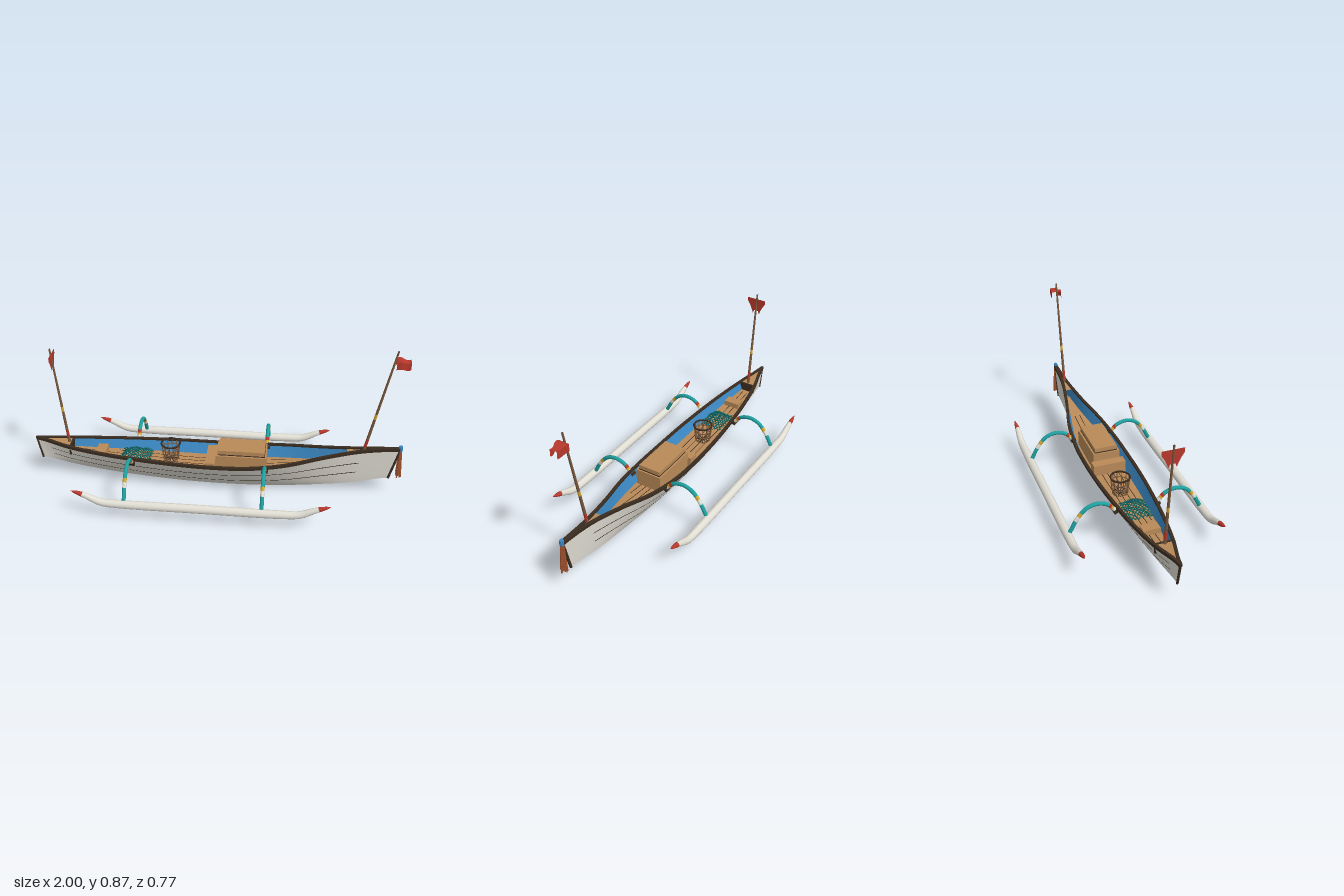
import * as THREE from 'three';

const V = (x, y, z) => new THREE.Vector3(x, y, z);
const lerp = THREE.MathUtils.lerp;

const M = {};
for (const [name, color] of Object.entries({
  white: 0xe0ddd3, darkWood: 0x3a2c20, blue: 0x3a86c0, wood: 0xb98a58, teal: 0x1f9f9f,
  red: 0xb8382c, yellow: 0xd2a52c, poleBrown: 0x7c5a3e, rust: 0xa5532f, netTeal: 0x0f6464,
})) M[name] = Object.assign(new THREE.MeshStandardMaterial({ color, side: THREE.DoubleSide }), { name });

function add(parent, name, geo, mat, x = 0, y = 0, z = 0) {
  const m = new THREE.Mesh(geo, mat);
  m.name = name;
  m.position.set(x, y, z);
  parent.add(m);
  return m;
}

// Grid surface from a rule fn(u, v) -> Vector3
function surface(fn, nu, nv, flat = false) {
  const pos = [], idx = [];
  for (let i = 0; i <= nu; i++)
    for (let j = 0; j <= nv; j++) pos.push(...fn(i / nu, j / nv).toArray());
  for (let i = 0; i < nu; i++)
    for (let j = 0; j < nv; j++) {
      const a = i * (nv + 1) + j, b = a + nv + 1;
      idx.push(a, b, a + 1, b, b + 1, a + 1);
    }
  let g = new THREE.BufferGeometry();
  g.setAttribute('position', new THREE.Float32BufferAttribute(pos, 3));
  g.setIndex(idx);
  if (flat) g = g.toNonIndexed();
  g.computeVertexNormals();
  return g;
}

// Round sweep along a planar curve, split into coloured bands [t0, t1, material]
function banded(parent, name, curve, B, radius, bands, seg = 12) {
  const g = new THREE.Group();
  g.name = name;
  parent.add(g);
  bands.forEach(([t0, t1, mat], k) => add(g, `${name}Band${k + 1}`, surface((u, v) => {
    const t = lerp(t0, t1, u), a = v * Math.PI * 2, r = radius(t);
    const N = B.clone().cross(curve.getTangentAt(t));
    return curve.getPointAt(t).addScaledVector(N, r * Math.cos(a)).addScaledVector(B, -r * Math.sin(a));
  }, Math.max(2, Math.ceil((t1 - t0) * 48)), seg), mat));
}

// Straight rod between two points
function rod(parent, name, a, b, r0, r1, mat, seg = 6) {
  const d = b.clone().sub(a);
  const m = add(parent, name, new THREE.CylinderGeometry(r1, r0, d.length(), seg), mat);
  m.position.copy(a).addScaledVector(d, 0.5);
  m.quaternion.setFromUnitVectors(V(0, 1, 0), d.normalize());
  return m;
}

// Hull lines at eleven even stations, stern to bow
const line = (vals) => {
  const c = new THREE.SplineCurve(vals.map((y, i) => new THREE.Vector2(i, y)));
  return (v) => c.getPoint(v).y;
};
const beam = line([0.003, 0.052, 0.086, 0.108, 0.122, 0.127, 0.123, 0.1, 0.053, 0.018, 0.007]);
const sheer = line([0.235, 0.216, 0.205, 0.198, 0.193, 0.19, 0.195, 0.215, 0.247, 0.277, 0.295]);
const keel = line([0.107, 0.07, 0.04, 0.02, 0.006, 0, 0.002, 0.012, 0.033, 0.062, 0.105]);
const hullPoint = (v, s, side, inset = 0) => V(
  lerp(lerp(-0.97, 0.93, v), lerp(-0.995, 0.975, v), s),
  lerp(keel(v), sheer(v), s),
  side * Math.max(0, beam(v) * Math.pow(s, 0.75) - inset));
// Flat deck across the hull at height fraction s
const deck = (v0, v1, s, inset) => surface((u, w) => {
  const p = hullPoint(lerp(v0, v1, u), s, 1, inset);
  p.z *= 1 - 2 * w;
  return p;
}, 40, 1);

function buildHull(root) {
  const FLOOR = 0.68;
  for (const side of [1, -1]) {
    const n = side > 0 ? 'left' : 'right';
    const flip = (u) => (side > 0 ? u : 1 - u);
    add(root, n + 'HullSide', surface((u, s) => hullPoint(flip(u), s, side), 60, 12), M.white);
    add(root, n + 'InnerSide', surface((u, s) =>
      hullPoint(lerp(0.09, 0.9, flip(1 - u)), lerp(0.64, 1, s), side, 0.007), 50, 4), M.blue);
    // Gunwale rail with a four-cornered section
    const sec = [[-0.012, -0.005], [-0.012, 0.005], [0.004, 0.005], [0.004, -0.011], [-0.012, -0.005]];
    add(root, n + 'Gunwale', surface((u, w) => {
      const v = flip(u), [dz, dy] = sec[Math.round(w * 4)], p = hullPoint(v, 1, side);
      p.z = side * Math.max(0, beam(v) + dz);
      p.y += dy;
      return p;
    }, 60, 4, true), M.darkWood);
    // Plank seams
    for (const s0 of [0.35, 0.64])
      add(root, n + 'PlankSeam', surface((u, w) => {
        const p = hullPoint(lerp(0.04, 0.9, flip(u)), s0 + (w - 0.5) * 0.022, side);
        p.z += side * 0.0016;
        p.y -= 0.001;
        return p;
      }, 50, 1), M.darkWood);
  }
  // Stem and stern posts
  rod(root, 'stemPost', V(0.93, 0.105, 0), V(0.977, 0.298, 0), 0.007, 0.009, M.darkWood, 8);
  rod(root, 'sternPost', V(-0.968, 0.107, 0), V(-0.992, 0.238, 0), 0.006, 0.007, M.darkWood, 8);
  // Floor, end decks and floorboard joints
  add(root, 'floor', deck(0.09, 0.88, FLOOR, 0.005), M.wood);
  add(root, 'sternDeck', deck(0, 0.1, 0.985, 0.004), M.wood);
  add(root, 'bowDeck', deck(0.86, 1, 0.985, 0.002), M.wood);
  add(root, 'sternBulkhead', new THREE.BoxGeometry(0.01, 0.055, 0.09), M.darkWood, -0.797, 0.19, 0);
  for (const z of [-0.045, -0.015, 0.015, 0.045]) {
    const v0 = Math.abs(z) > 0.03 ? 0.23 : 0.11, v1 = Math.abs(z) > 0.03 ? 0.7 : 0.78;
    add(root, 'floorJoint', surface((u, w) => {
      const p = hullPoint(lerp(v0, v1, u), FLOOR, 1);
      return V(p.x, p.y + 0.002, z + (0.5 - w) * 0.004);
    }, 30, 1), M.darkWood);
  }
}

function buildFittings(root) {
  const box = (name, w, h, d, x, y, mat = M.wood) => add(root, name, new THREE.BoxGeometry(w, h, d), mat, x, y, 0);
  box('chest', 0.27, 0.1, 0.148, 0.14, 0.18);
  box('chestSeam', 0.254, 0.006, 0.128, 0.14, 0.232, M.darkWood);
  box('chestLid', 0.25, 0.024, 0.126, 0.14, 0.246);
  box('middleBench', 0.052, 0.06, 0.18, -0.026, 0.16);
  box('sternBench', 0.055, 0.03, 0.09, -0.63, 0.172);

  // Open wicker basket
  const basket = new THREE.Group();
  basket.name = 'basket';
  basket.position.set(-0.25, 0.14, -0.015);
  root.add(basket);
  const rad = (y) => 0.04 + y * 0.11;
  for (const y of [0.003, 0.035, 0.066, 0.096])
    add(basket, 'basketHoop', new THREE.TorusGeometry(rad(y), y > 0.09 ? 0.005 : 0.003, 6, 24),
      y > 0.09 ? M.darkWood : M.poleBrown, 0, y, 0).rotation.x = Math.PI / 2;
  for (let i = 0; i < 12; i++) {
    const a = i * Math.PI / 6, at = (r, y) => V(Math.cos(a) * r, y, Math.sin(a) * r);
    rod(basket, 'basketStake', at(rad(0), 0), at(rad(0.096), 0.096), 0.0025, 0.0025, M.poleBrown, 5);
    rod(basket, 'basketSpoke', at(0, 0.003), at(rad(0), 0.003), 0.002, 0.002, M.darkWood, 5);
  }

  // Fishing net heaped on the floor, laid as a diagonal lattice
  const heap = (x, z) => V(-0.437 + x, 0.145 + 0.04 * Math.max(0, 1 - (x / 0.1) ** 2) * Math.max(0, 1 - (z / 0.085) ** 2)
    + 0.004 * Math.sin(x * 90 + z * 60), z);
  for (const dir of [1, -1])
    for (let c = -0.13; c <= 0.131; c += 0.02) {
      const z0 = Math.max(-0.064, -0.082 - c), z1 = Math.min(0.064, 0.082 - c);
      if (z1 - z0 < 0.01) continue;
      const pts = [0, 1, 2, 3, 4, 5].map((k) => {
        const z = lerp(z0, z1, k / 5);
        return heap(z + c, dir * z);
      });
      add(root, 'netCord', new THREE.TubeGeometry(new THREE.CatmullRomCurve3(pts), 12, 0.0027, 5), M.netTeal);
    }
}

function buildOutriggers(root) {
  const X = V(1, 0, 0), Z = V(0, 0, 1);
  for (const side of [1, -1]) {
    const n = side > 0 ? 'left' : 'right';
    const path = new THREE.CatmullRomCurve3([[-0.72, 0.158], [-0.645, 0.132], [-0.565, 0.096], [-0.48, 0.09], [-0.05, 0.09],
      [0.38, 0.09], [0.465, 0.096], [0.545, 0.132], [0.62, 0.158]].map(([x, y]) => V(x, y, side * 0.36)));
    banded(root, n + 'Float', path, Z, (t) => 0.023 * Math.pow(Math.max(0, 1 - Math.abs(2 * t - 1) ** 5), 0.6) + 0.0005,
      [[0, 0.045, M.red], [0.045, 0.955, M.white], [0.955, 1, M.red]], 14);
    for (const x of [-0.445, 0.27]) {
      const arc = new THREE.CatmullRomCurve3([[0.105, 0.175], [0.125, 0.2], [0.155, 0.229], [0.21, 0.244], [0.265, 0.227],
        [0.31, 0.178], [0.345, 0.115], [0.358, 0.09]].map(([z, y]) => V(x, y, side * z)));
      banded(root, n + 'OutriggerArm', arc, X, () => 0.0105, [[0, 0.05, M.darkWood], [0.05, 0.1, M.white],
        [0.1, 0.135, M.yellow], [0.135, 0.18, M.red], [0.18, 0.62, M.teal], [0.62, 0.68, M.yellow],
        [0.68, 0.76, M.white], [0.76, 1, M.teal]]);
      add(root, n + 'ArmLashing', new THREE.BoxGeometry(0.034, 0.016, 0.03), M.darkWood, x, 0.182, side * 0.11)
        .rotation.x = side * 0.5;
    }
  }
}

function buildPolesAndFlags(root) {
  const pole = (name, a, b) => banded(root, name, new THREE.LineCurve3(a, b), V(0, 0, 1), (t) => lerp(0.0085, 0.005, t),
    [[0, 0.05, M.poleBrown], [0.05, 0.13, M.red], [0.13, 0.34, M.poleBrown], [0.34, 0.39, M.yellow], [0.39, 1, M.poleBrown]], 8);
  pole('bowPole', V(0.785, 0.265, 0), V(0.905, 0.868, 0));
  pole('sternPole', V(-0.81, 0.22, 0), V(-0.865, 0.785, 0));

  // Swallow-tailed pennant set across the stern pole
  const half = [[0.055, 0.76], [0.055, 0.738], [0.04, 0.715], [0.028, 0.69], [0.02, 0.668], [0.012, 0.686]];
  const mirror = half.map(([z, y]) => [-z, y]).reverse();
  const shape = new THREE.Shape([...half, [0, 0.69], ...mirror].map(([z, y]) => new THREE.Vector2(z, y)));
  const flag = add(root, 'sternFlag', new THREE.ShapeGeometry(shape), M.red, -0.858);
  flag.rotation.y = -Math.PI / 2;

  // Folded flag streaming from the bow pole
  const fold = [[-0.028, -0.04], [-0.028, 0], [0.028, 0], [0.028, -0.04]];
  add(root, 'bowFlag', surface((u, w) => {
    const [z, y] = fold[Math.round(w * 3)], wave = Math.sin(u * 6);
    return V(lerp(0.9, 0.972, u), 0.818 + y + 0.005 * wave, z * (1 - 0.28 * u) + 0.003 * wave * Math.sign(z));
  }, 10, 3, true), M.red);

  // Bow tassel tied with a blue knot
  add(root, 'tasselKnot', new THREE.CylinderGeometry(0.011, 0.012, 0.028, 10), M.blue, 0.977, 0.297, 0);
  for (let i = 0; i < 22; i++) {
    const a = i * 2.4, r = Math.sqrt((i + 0.5) / 22);
    rod(root, 'tasselStrand', V(0.977 + 0.007 * r * Math.cos(a), 0.288, 0.009 * r * Math.sin(a)),
      V(0.98 + 0.015 * r * Math.cos(a), 0.135 + 0.018 * Math.sin(i * 5.3), 0.019 * r * Math.sin(a)),
      0.0025, 0.0035, M.rust, 5);
  }
}

export function createModel() {
  const root = new THREE.Group();
  root.name = 'outriggerBoat';
  buildHull(root);
  buildFittings(root);
  buildOutriggers(root);
  buildPolesAndFlags(root);
  return root;
}
